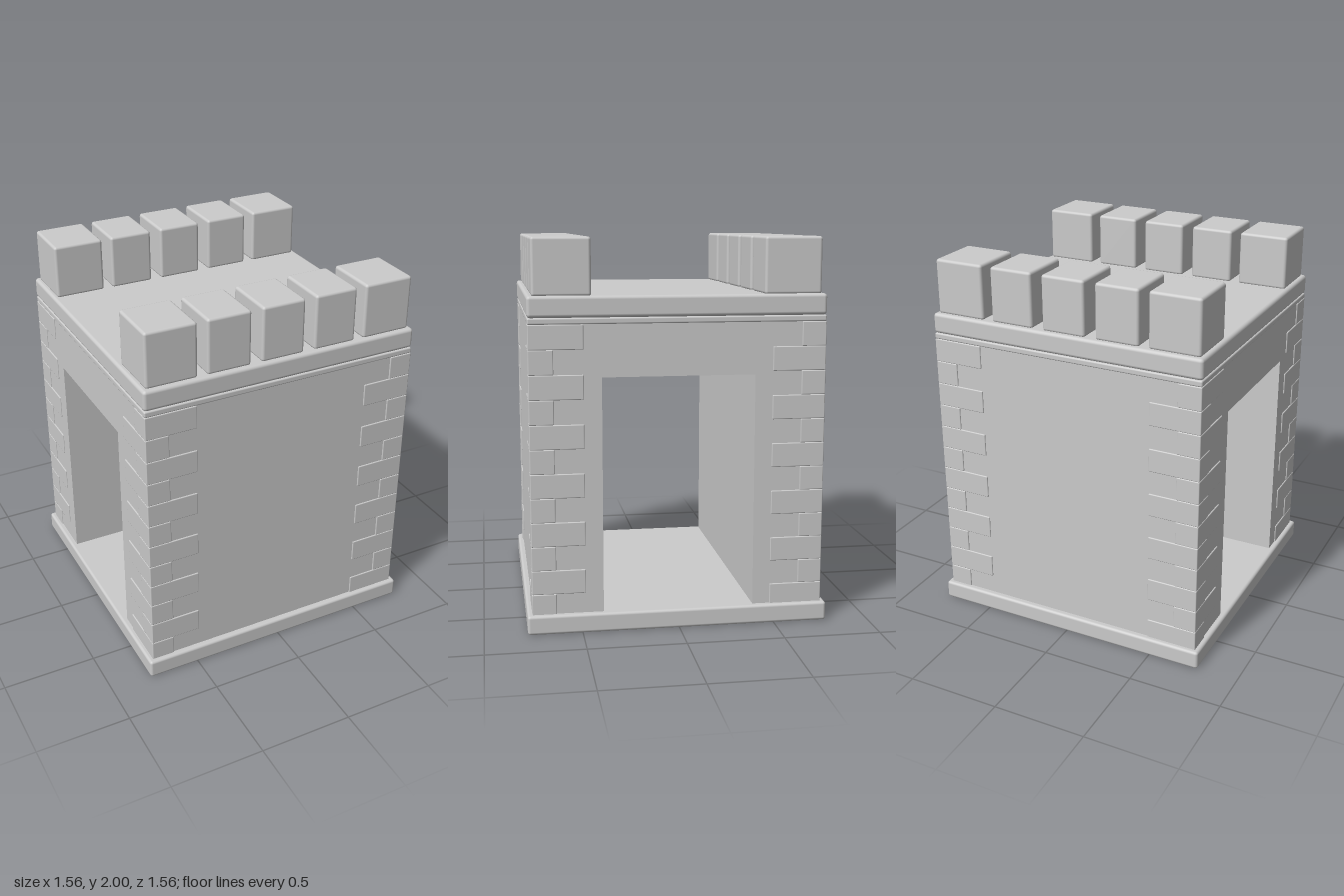
import * as THREE from 'three';
import { RoundedBoxGeometry } from 'three/addons/geometries/RoundedBoxGeometry.js';

const stone = new THREE.MeshStandardMaterial({ color: 0xcccccc });

// Softly rounded block given by its min and max corners
function block(parent, name, min, max, radius) {
  const size = max.map((v, i) => v - min[i]);
  const mesh = new THREE.Mesh(new RoundedBoxGeometry(...size, 2, radius), stone);
  mesh.position.set(...max.map((v, i) => (v + min[i]) / 2));
  mesh.name = name;
  parent.add(mesh);
}

export function createModel() {
  const model = new THREE.Group();
  model.name = 'gatehouse';

  // Base slab
  block(model, 'base', [-0.78, 0, -0.78], [0.78, 0.1, 0.78], 0.015);

  // Walls with a square passage running from side to side
  const profile = new THREE.Shape([
    [-0.749, 0.09], [-0.39, 0.09], [-0.39, 1.31], [0.39, 1.31],
    [0.39, 0.09], [0.749, 0.09], [0.749, 1.6], [-0.749, 1.6],
  ].map(([z, y]) => new THREE.Vector2(z, y)));
  const wallGeometry = new THREE.ExtrudeGeometry(profile, { depth: 1.498, bevelEnabled: false });
  wallGeometry.translate(0, 0, -0.749).rotateY(Math.PI / 2);
  const walls = new THREE.Mesh(wallGeometry, stone);
  walls.name = 'walls';
  model.add(walls);

  // Corner stones, long and short sides alternating row by row
  const quoins = new THREE.Group();
  quoins.name = 'cornerStones';
  model.add(quoins);
  const rows = 12, bottom = 0.08, pitch = 0.1246, outer = 0.755;
  for (const sx of [-1, 1]) {
    for (const sz of [-1, 1]) {
      for (let row = 0; row < rows; row++) {
        const longInX = (row % 2 === 1) === (sx * sz < 0);
        const innerX = longInX ? 0.48 : 0.63;
        const innerZ = longInX ? 0.63 : 0.48;
        const y = bottom + row * pitch;
        const xs = [sx * innerX, sx * outer].sort((a, b) => a - b);
        const zs = [sz * innerZ, sz * outer].sort((a, b) => a - b);
        block(quoins, 'cornerStone', [xs[0], y, zs[0]], [xs[1], y + pitch, zs[1]], 0.005);
      }
    }
  }

  // Trim band and roof slab
  block(model, 'trimBand', [-0.755, 1.575, -0.755], [0.755, 1.607, 0.755], 0.008);
  block(model, 'roofSlab', [-0.757, 1.607, -0.757], [0.757, 1.715, 0.757], 0.018);

  // Battlements along the front and back
  const battlements = new THREE.Group();
  battlements.name = 'battlements';
  model.add(battlements);
  const spans = [[-0.735, -0.463], [-0.412, -0.177], [-0.118, 0.118], [0.177, 0.412], [0.463, 0.735]];
  for (const [z0, z1] of [[-0.732, -0.437], [0.437, 0.732]]) {
    for (const [x0, x1] of spans) {
      block(battlements, 'merlon', [x0, 1.71, z0], [x1, 2, z1], 0.015);
    }
  }
  return model;
}
